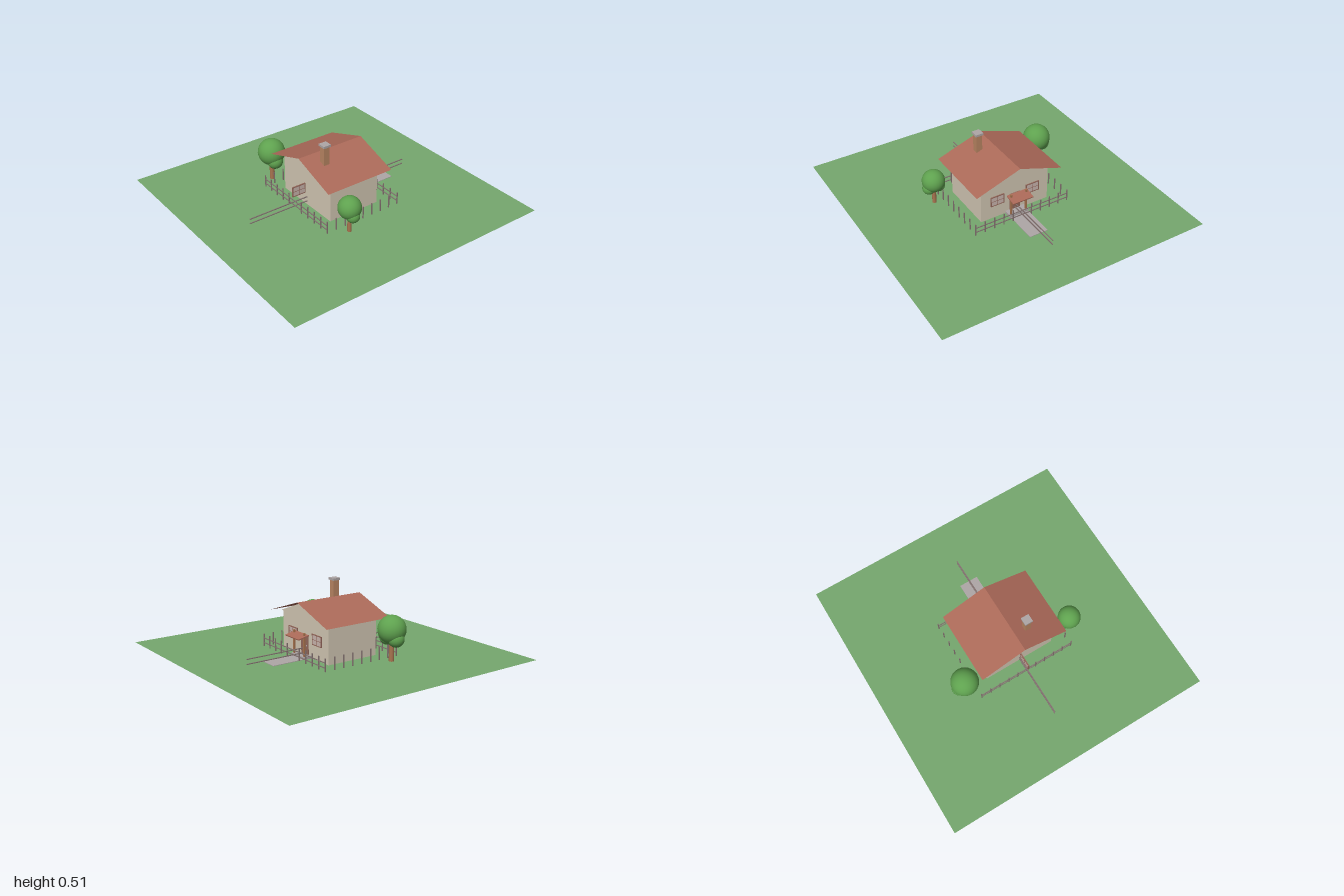
import * as THREE from 'three';

const mat = (name, color, side = THREE.FrontSide) => {
  const m = new THREE.MeshStandardMaterial({ color, side });
  m.name = name;
  return m;
};

export function createModel() {
  const root = new THREE.Group();
  root.name = 'cottage';

  const grass = mat('grass', 0x76a86e, THREE.DoubleSide);
  const plaster = mat('plaster', 0xd2c7b3);
  const tile = mat('roofTile', 0xac6a59, THREE.DoubleSide);
  const brick = mat('brick', 0xb98562);
  const stone = mat('stone', 0xaea6a6);
  const bark = mat('bark', 0xa8744f);
  const leaf = mat('leaf', 0x5fa24f);
  const fenceWood = mat('fenceWood', 0x857472);
  const glass = mat('glass', 0xcbb5ae);
  const frameWood = mat('frameWood', 0x94675a);

  const base = 0.02; // ground level

  const add = (name, geo, m, x, y, z, parent = root) => {
    const mesh = new THREE.Mesh(geo, m);
    mesh.name = name;
    mesh.position.set(x, y, z);
    parent.add(mesh);
    return mesh;
  };
  const box = (name, m, w, h, d, x, y, z, parent) =>
    add(name, new THREE.BoxGeometry(w, h, d), m, x, y, z, parent);
  const group = (name, x = 0, y = 0, z = 0) => {
    const g = new THREE.Group();
    g.name = name;
    g.position.set(x, y, z);
    root.add(g);
    return g;
  };

  // Ground and path
  add('lawn', new THREE.PlaneGeometry(2, 2).rotateX(-Math.PI / 2), grass, 0, base, 0);
  box('path', stone, 0.14, 0.004, 0.24, 0, base + 0.002, -0.385);

  // Walls and gable
  box('walls', plaster, 0.534, 0.268, 0.4, 0, 0.154, 0);
  const gable = new THREE.Shape();
  gable.moveTo(-0.294, 0.287);
  gable.lineTo(0.294, 0.287);
  gable.lineTo(0, 0.401);
  gable.closePath();
  add('gable', new THREE.ExtrudeGeometry(gable, { depth: 0.4, bevelEnabled: false }),
    plaster, 0, 0, -0.2);

  // Two thin roof slopes meeting at the ridge
  const halfSpan = 0.335, eave = 0.289, ridge = 0.404;
  const slope = Math.atan2(ridge - eave, halfSpan);
  for (const s of [-1, 1]) {
    const plane = new THREE.PlaneGeometry(Math.hypot(halfSpan, ridge - eave), 0.53);
    plane.rotateX(-Math.PI / 2).rotateZ(-s * slope);
    add(s > 0 ? 'leftRoof' : 'rightRoof', plane, tile,
      s * halfSpan / 2, (eave + ridge) / 2, 0);
  }

  // Chimney
  box('chimney', brick, 0.045, 0.17, 0.045, 0.1, 0.412, 0.12);
  box('chimneyCap', stone, 0.058, 0.016, 0.058, 0.1, 0.503, 0.12);

  // Windows: a pane with border and cross bars on both faces
  const makeWindow = (name, x, y, z, turn) => {
    const g = group(name, x, y, z);
    g.rotation.y = turn;
    const w = 0.1, h = 0.07, t = 0.006;
    box('pane', glass, w, h, 0.006, 0, 0, 0, g);
    for (const s of [-1, 0, 1]) {
      box('verticalBar', frameWood, s ? t : 0.003, h + t, 0.009, s * w / 2, 0, 0, g);
      box('horizontalBar', frameWood, w + t, s ? t : 0.003, 0.0088, 0, s * h / 2, 0, g);
    }
  };
  makeWindow('frontWindow', 0, 0.16, 0.267, Math.PI / 2);
  makeWindow('backWindowLeft', 0.14, 0.16, -0.203, 0);
  makeWindow('backWindowRight', -0.14, 0.16, -0.203, 0);

  // Door, steps and porch
  box('door', frameWood, 0.08, 0.14, 0.008, 0, 0.1, -0.203);
  box('doorKnob', stone, 0.007, 0.007, 0.006, -0.027, 0.1, -0.209);
  box('landing', stone, 0.15, 0.018, 0.065, 0, 0.029, -0.2325);
  box('lowerStep', stone, 0.15, 0.012, 0.05, 0, 0.006, -0.29);
  for (const s of [-1, 1]) {
    box('porchPost', bark, 0.012, 0.165, 0.012, s * 0.06, 0.12, -0.25);
  }
  const awning = box('porchRoof', tile, 0.16, 0.008, 0.085, 0, 0.177, -0.268);
  awning.rotation.x = -0.2;

  // Fence posts around the garden, with a gap for the path
  const step = 0.0735, fx = step * 5, fz = 0.3;
  const post = new THREE.BoxGeometry(0.007, 0.096, 0.007);
  const fence = group('fence');
  for (const s of [-1, 1]) {
    for (let i = -5; i <= 5; i++) {
      if (i !== 0) add('fencePost', post, fenceWood, i * step, 0.063, s * fz, fence);
    }
    for (let i = -3; i <= 3; i++) {
      add('fencePost', post, fenceWood, s * fx, 0.063, i * 0.075, fence);
    }
  }
  // Rails across the front and back, and the long centre rails
  for (const y of [0.046, 0.08]) {
    for (const s of [-1, 1]) {
      box('crossRail', fenceWood, 2 * fx, 0.006, 0.005, 0, y, s * fz, fence);
    }
    box('centreRail', fenceWood, 0.006, 0.006, 1.33, 0, y, 0, fence);
  }

  // Trees: a trunk, a round crown and two lower lobes
  const makeTree = (name, x, z, r, crownY, lobeY, trunkTop) => {
    const g = group(name, x, 0, z);
    const h = trunkTop - base;
    add('trunk', new THREE.CylinderGeometry(r * 0.17, r * 0.19, h, 12), bark, 0, base + h / 2, 0, g);
    add('crown', new THREE.SphereGeometry(r, 24, 16), leaf, 0, crownY, 0, g);
    for (const s of [-1, 1]) {
      add('lobe', new THREE.SphereGeometry(r * 0.58, 20, 14), leaf, s * r * 0.45, lobeY, 0, g);
    }
  };
  makeTree('largeTree', -0.437, 0.198, 0.098, 0.24, 0.182, 0.17);
  makeTree('smallTree', 0.43, 0.165, 0.081, 0.203, 0.155, 0.145);

  return root;
}
